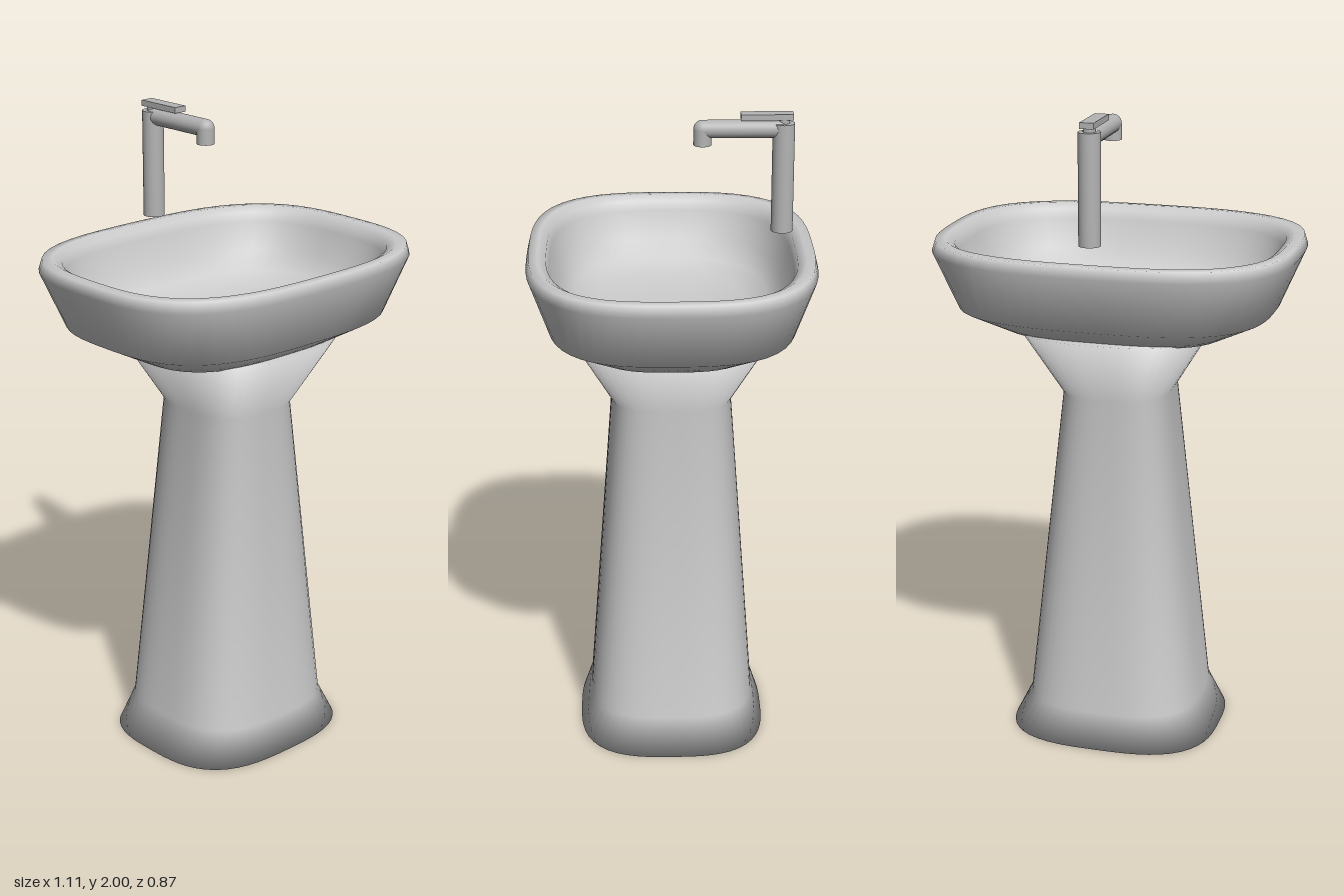
import * as THREE from 'three';

const ceramic = new THREE.MeshStandardMaterial({ color: 0xcccccc });
ceramic.name = 'ceramic';
const metal = new THREE.MeshStandardMaterial({ color: 0xb4b4b4 });
metal.name = 'metal';

// Smooth closed loft through rounded-rectangle rings [halfWidth, y, halfDepth], capped at both ends
function loft(rings, yStart, yEnd, power = 3, segs = 64) {
  const pos = [0, yStart, 0];
  const idx = [];
  for (const [a, y, b] of rings) {
    for (let i = 0; i < segs; i++) {
      const t = (i / segs) * Math.PI * 2;
      const c = Math.cos(t), s = Math.sin(t);
      const r = (Math.abs(c) ** power + Math.abs(s) ** power) ** (-1 / power);
      pos.push(a * r * c, y, b * r * s);
    }
  }
  const end = pos.length / 3;
  pos.push(0, yEnd, 0);
  const at = (k, i) => 1 + k * segs + (i % segs);
  const last = rings.length - 1;
  for (let i = 0; i < segs; i++) {
    idx.push(0, at(0, i), at(0, i + 1));
    for (let k = 0; k < last; k++) {
      idx.push(at(k, i), at(k + 1, i), at(k, i + 1));
      idx.push(at(k, i + 1), at(k + 1, i), at(k + 1, i + 1));
    }
    idx.push(end, at(last, i + 1), at(last, i));
  }
  const g = new THREE.BufferGeometry();
  g.setAttribute('position', new THREE.Float32BufferAttribute(pos, 3));
  g.setIndex(idx);
  g.computeVertexNormals();
  return g;
}

export function createModel() {
  const root = new THREE.Group();
  root.name = 'pedestalSink';
  const add = (parent, name, geometry, material, x = 0, y = 0, z = 0) => {
    const m = new THREE.Mesh(geometry, material);
    m.name = name;
    m.position.set(x, y, z);
    parent.add(m);
    return m;
  };

  // Pedestal: flared foot, tapering column, flared neck
  add(root, 'pedestal', loft([
    [0.33, 0, 0.295], [0.275, 0.11, 0.26], [0.165, 1.12, 0.185], [0.29, 1.33, 0.305],
  ], 0, 1.33), ceramic);

  // Basin: underside, outer wall, rolled rim, then the bowl down to its floor
  add(root, 'basin', loft([
    [0.345, 1.32, 0.255], [0.48, 1.39, 0.375], [0.555, 1.565, 0.435], [0.545, 1.598, 0.427],
    [0.515, 1.6, 0.4], [0.49, 1.585, 0.375], [0.482, 1.555, 0.367], [0.455, 1.47, 0.34],
    [0.41, 1.415, 0.3], [0.33, 1.385, 0.235], [0.18, 1.372, 0.13],
  ], 1.32, 1.37), ceramic);

  // Faucet: upright, spout with downturned tip, lever on top
  const faucet = new THREE.Group();
  faucet.name = 'faucet';
  root.add(faucet);
  add(faucet, 'column', new THREE.CylinderGeometry(0.033, 0.033, 0.33, 32), metal, 0, 1.805, -0.333);
  const spout = add(faucet, 'spout', new THREE.CylinderGeometry(0.027, 0.027, 0.24, 32), metal, 0, 1.953, -0.213);
  spout.rotation.x = Math.PI / 2;
  add(faucet, 'elbow', new THREE.SphereGeometry(0.027, 32, 16), metal, 0, 1.953, -0.093);
  add(faucet, 'spoutTip', new THREE.CylinderGeometry(0.027, 0.027, 0.048, 32), metal, 0, 1.929, -0.093);
  add(faucet, 'leverNeck', new THREE.CylinderGeometry(0.018, 0.018, 0.02, 24), metal, 0, 1.976, -0.333);
  add(faucet, 'lever', new THREE.BoxGeometry(0.042, 0.018, 0.155), metal, 0, 1.991, -0.283);
  return root;
}
